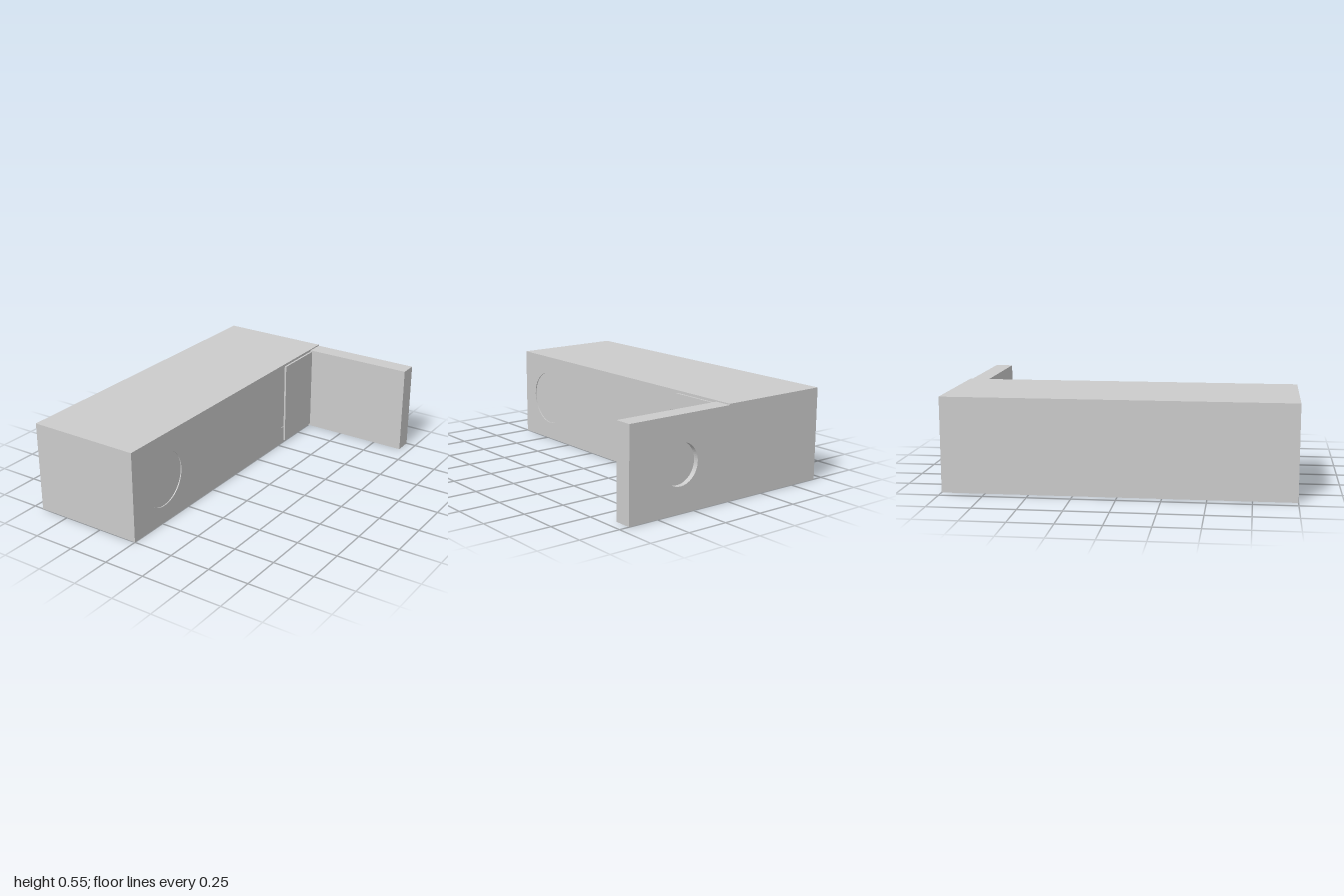
import * as THREE from 'three';

const material = new THREE.MeshStandardMaterial({ color: 0xcccccc, flatShading: true });

// Box given by its minimum and maximum corners
function box(name, [x0, y0, z0], [x1, y1, z1]) {
  const geometry = new THREE.BoxGeometry(x1 - x0, y1 - y0, z1 - z0);
  geometry.translate((x0 + x1) / 2, (y0 + y1) / 2, (z0 + z1) / 2);
  const mesh = new THREE.Mesh(geometry, material);
  mesh.name = name;
  return mesh;
}

// Rectangular sheet in the xy plane with round holes, extruded along +z
function holedSheet(x0, x1, height, depth, holes) {
  const shape = new THREE.Shape();
  shape.moveTo(x0, 0).lineTo(x1, 0).lineTo(x1, height).lineTo(x0, height).closePath();
  for (const [cx, cy, r] of holes) {
    shape.holes.push(new THREE.Path().absarc(cx, cy, r, 0, Math.PI * 2, true));
  }
  return new THREE.ExtrudeGeometry(shape, { depth, bevelEnabled: false, curveSegments: 32 });
}

export function createModel() {
  const model = new THREE.Group();
  const skin = 0.006;     // depth of the shallow round recesses in the side
  const pocket = 0.03;    // depth of the round recess in the back of the arm

  // Long main block, with a side skin holding two shallow round recesses
  const block = new THREE.Group();
  block.name = 'mainBlock';
  block.add(box('blockCore', [-0.688, 0, -1], [-skin, 0.55, 1]));
  const side = holedSheet(-1, 1, 0.55, skin, [[-0.725, 0.275, 0.168], [0.585, 0.275, 0.168]]);
  side.rotateY(Math.PI / 2).translate(-skin, 0, 0);
  const sideSkin = new THREE.Mesh(side, material);
  sideSkin.name = 'recessedSide';
  block.add(sideSkin);
  model.add(block);

  // Short arm at the back, with a round recess in its rear face
  const arm = new THREE.Group();
  arm.name = 'backArm';
  arm.add(box('armCore', [0, 0, -1 + pocket], [0.688, 0.543, -0.893]));
  const rear = holedSheet(0, 0.688, 0.543, pocket, [[0.345, 0.272, 0.12]]);
  rear.translate(0, 0, -1);
  const rearSkin = new THREE.Mesh(rear, material);
  rearSkin.name = 'recessedRear';
  arm.add(rearSkin);
  model.add(arm);

  // Thin mounting plate in the inner corner
  model.add(box('mountingPlate', [0, 0.015, -0.893], [0.012, 0.535, -0.565]));

  return model;
}
